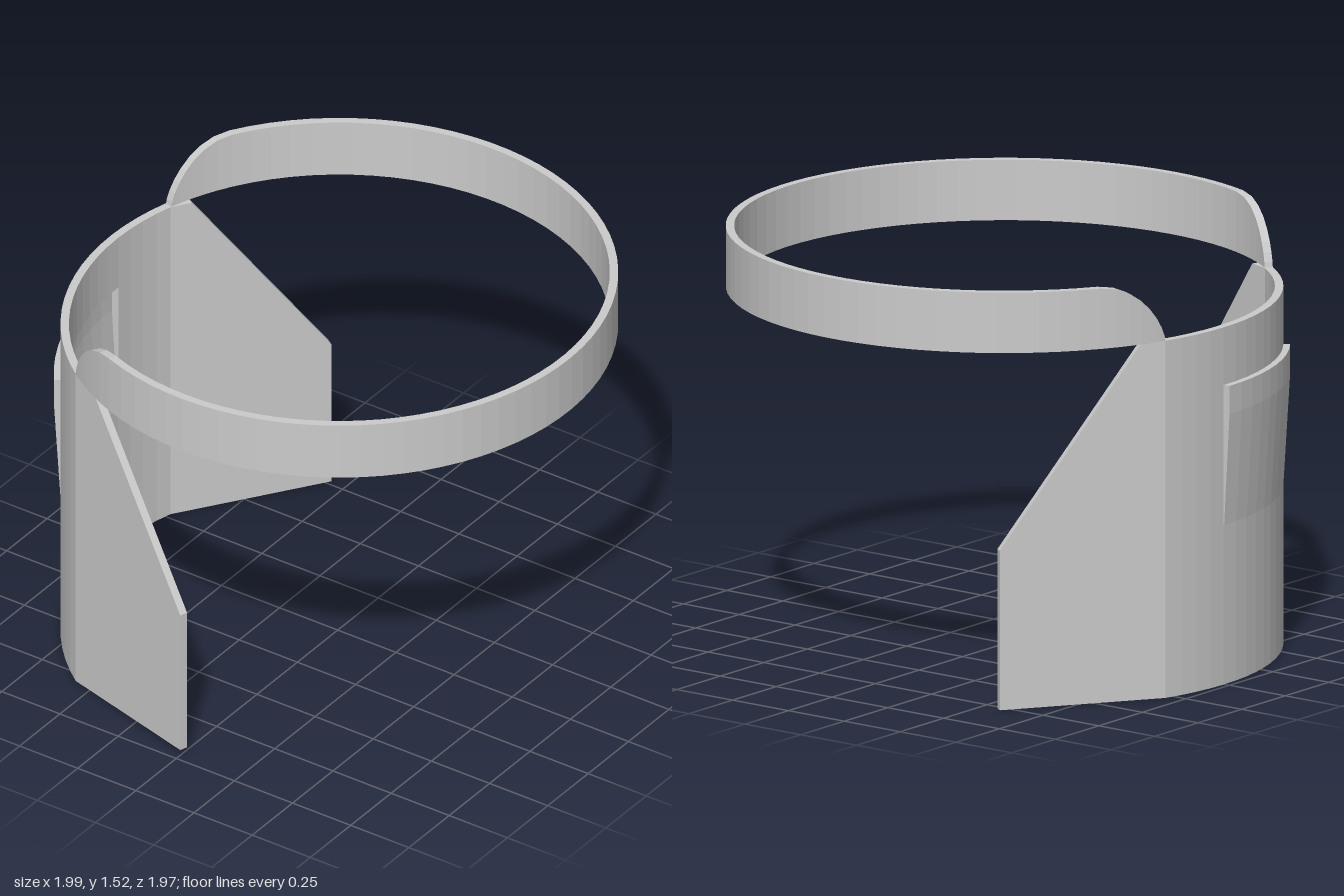
import * as THREE from 'three';

const RI = 0.955, RO = 0.985;           // wall radii
const MID = 161.5;                      // direction the shield faces, degrees from +x toward +z
const WALL = 35.3, WING = 71.5, TAB = 18.9, RISE = 50.5; // half angles from MID
const TOP = 1.3, RIM = 1.52;
const rad = THREE.MathUtils.degToRad;

const material = new THREE.MeshStandardMaterial({ color: 0xcccccc, flatShading: true });

function add(parent, name, geometry) {
  const mesh = new THREE.Mesh(geometry, material);
  mesh.name = name;
  parent.add(mesh);
  return mesh;
}

// A box bent into an arc; angle, height and outward push follow simple rules
function arcWall(from, to, segs, bottom, top, { ease = u => u, push = () => 0, rows = 1 } = {}) {
  const geo = new THREE.BoxGeometry(1, 1, 1, segs, rows, 1);
  const p = geo.attributes.position;
  for (let i = 0; i < p.count; i++) {
    const u = ease(0.5 - p.getX(i)), v = p.getY(i) + 0.5;
    const a = rad(from + (to - from) * u);
    const y1 = typeof top === 'function' ? top(u) : top;
    const r = (p.getZ(i) > 0 ? RO : RI) + push(v);
    p.setXYZ(i, r * Math.cos(a), bottom + (y1 - bottom) * v, r * Math.sin(a));
  }
  geo.computeVertexNormals();
  return geo;
}

// Flat wing: an outline extruded along the chord between two angles
function wing(side, endBottom, endTop) {
  const at = h => {
    const a = rad(MID + side * h);
    return new THREE.Vector3(RO * Math.cos(a), 0, RO * Math.sin(a));
  };
  const start = at(WALL), end = at(WING);
  const along = end.clone().sub(start);
  const len = along.length();
  along.normalize();
  const up = new THREE.Vector3(0, 1, 0);
  const out = new THREE.Vector3().crossVectors(along, up);
  const shape = new THREE.Shape([
    [0, 0], [len, endBottom], [len, endTop], [len * 0.14, TOP], [0, TOP],
  ].map(([x, y]) => new THREE.Vector2(x, y)));
  const t = RO - RI;
  const geo = new THREE.ExtrudeGeometry(shape, { depth: t, bevelEnabled: false });
  // keep the thickness on the inner side of the chord
  if (out.dot(start) > 0) geo.translate(0, 0, -t);
  geo.applyMatrix4(new THREE.Matrix4().makeBasis(along, up, out).setPosition(start));
  return geo;
}

export function createModel() {
  const model = new THREE.Group();
  model.name = 'headbandShield';
  const body = new THREE.Group();
  body.name = 'body';
  body.position.x = 0.007;
  model.add(body);

  // Curved wall around the tab opening
  const shield = new THREE.Group();
  shield.name = 'curvedShield';
  body.add(shield);
  add(shield, 'frontWall', arcWall(MID - WALL, MID - TAB, 4, 0, TOP));
  add(shield, 'backWall', arcWall(MID + TAB, MID + WALL, 4, 0, TOP));
  add(shield, 'wallBelowTab', arcWall(MID - TAB, MID + TAB, 9, 0, 0.58));
  add(shield, 'wallAboveTab', arcWall(MID - TAB, MID + TAB, 9, 1.09, TOP));

  // Springy clip tab, leaning outward toward its top
  add(body, 'clipTab', arcWall(MID - TAB + 0.1, MID + TAB - 0.3, 9, 0.58, 1.09,
    { push: v => 0.024 * Math.min(1, v * 1.25), rows: 5 }));

  // Flat wings tapering at the top
  add(body, 'frontWing', wing(-1, 0.03, 0.6));
  add(body, 'backWing', wing(1, 0, 0.58));

  // Ring with rounded shoulders dropping to the wall top
  add(body, 'ring', arcWall(MID + RISE, MID + 360 - RISE, 60, TOP, RIM));
  const shoulder = u => TOP + (RIM - TOP) * Math.pow(1 - (1 - u) ** 2, 0.7);
  add(body, 'backShoulder', arcWall(MID + WALL, MID + RISE, 8, TOP, shoulder,
    { ease: t => t * t }));
  add(body, 'frontShoulder', arcWall(MID - RISE, MID - WALL, 8, TOP, u => shoulder(1 - u),
    { ease: t => 1 - (1 - t) ** 2 }));

  return model;
}
